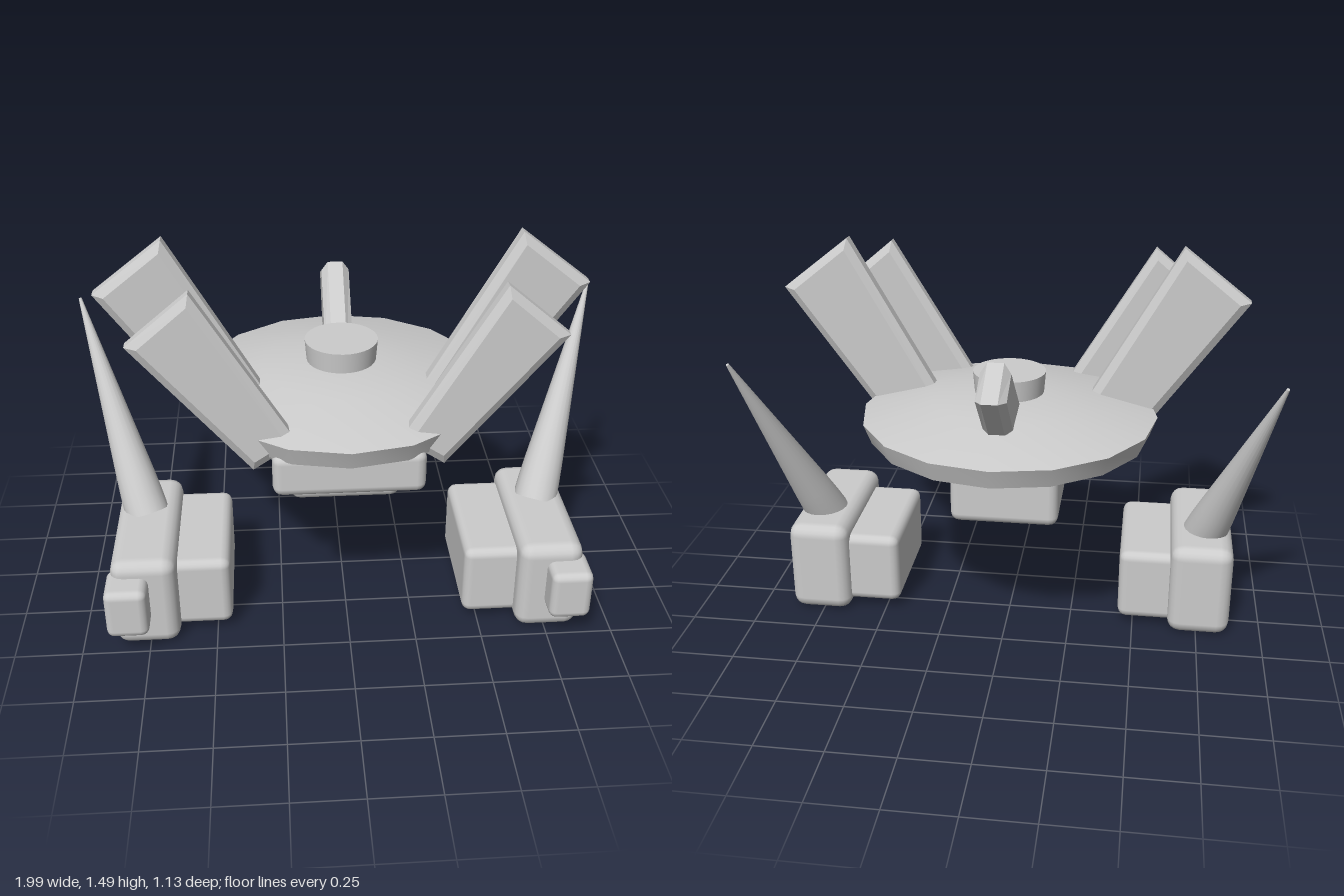
import * as THREE from 'three';
import { toCreasedNormals } from 'three/addons/utils/BufferGeometryUtils.js';
import { RoundedBoxGeometry } from 'three/addons/geometries/RoundedBoxGeometry.js';

const grey = new THREE.MeshStandardMaterial({ color: 0xcccccc });
grey.name = 'light grey';

function add(parent, name, geometry) {
  const mesh = new THREE.Mesh(geometry, grey);
  mesh.name = name;
  parent.add(mesh);
  return mesh;
}

// Rounded box given by its lower and upper corners
function box(parent, name, [x0, y0, z0], [x1, y1, z1], radius) {
  const g = new RoundedBoxGeometry(Math.abs(x1 - x0), y1 - y0, z1 - z0, 2, radius);
  g.translate((x0 + x1) / 2, (y0 + y1) / 2, (z0 + z1) / 2);
  return add(parent, name, g);
}

// Turned solid with sharp rims kept crisp
function turned(points, sides) {
  const profile = points.map(([r, y]) => new THREE.Vector2(r, y));
  return toCreasedNormals(new THREE.LatheGeometry(profile, sides), 0.6);
}

// Flat blade with bevelled edges, centred on its thickness
function blade(corners, thickness, bevelSize, bevelThickness) {
  const shape = new THREE.Shape(corners.map(([x, y]) => new THREE.Vector2(x, y)));
  const depth = thickness - 2 * bevelThickness;
  const g = new THREE.ExtrudeGeometry(shape, {
    depth, bevelEnabled: true, bevelSegments: 1,
    bevelSize, bevelThickness, bevelOffset: -bevelSize,
  });
  return g.translate(0, 0, -depth / 2);
}

export function createModel() {
  const model = new THREE.Group();
  model.name = 'hoveringRobot';

  // Saucer and its top cap
  add(model, 'saucer', turned([
    [0, 0.738], [0.2, 0.745], [0.53, 0.79], [0.558, 0.865],
    [0.3, 0.93], [0.14, 0.948], [0, 0.95],
  ], 16)).position.z = -0.01;
  add(model, 'topCap', new THREE.CylinderGeometry(0.137, 0.128, 0.11, 32)).position.set(0, 0.973, -0.01);

  // Body blocks under the saucer
  box(model, 'upperBody', [-0.272, 0.642, 0.02], [0.272, 0.81, 0.47], 0.035);
  box(model, 'lowerBody', [-0.205, 0.475, -0.205], [0.205, 0.8, 0.242], 0.035);

  // Leaning fin at the back
  const fin = blade([[-0.376, 1.185], [-0.545, 1.097], [-0.29, 0.835], [-0.09, 0.93]], 0.108, 0.03, 0.025);
  add(model, 'backFin', fin.rotateY(-Math.PI / 2));

  for (const [side, s] of [['left', 1], ['right', -1]]) {
    const flip = (corners) => corners.map(([x, y]) => [s * x, y]);

    // Raised blades through the rim
    const rear = blade(flip([[0.877, 1.29], [0.626, 1.485], [0.26, 0.84], [0.455, 0.705]]), 0.082, 0.03, 0.02);
    add(model, side + 'RearBlade', rear).position.z = 0.11;
    const front = blade(flip([[0.745, 1.225], [0.524, 1.41], [0.18, 0.84], [0.337, 0.735]]), 0.072, 0.03, 0.018);
    add(model, side + 'FrontBlade', front).position.z = 0.4;

    // Separate foot: main block, inner block and nose
    const foot = new THREE.Group();
    foot.name = side + 'Foot';
    model.add(foot);
    box(foot, 'mainBlock', [s * 0.636, 0, -0.133], [s * 0.877, 0.373, 0.468], 0.05);
    box(foot, 'innerBlock', [s * 0.44, 0.032, -0.09], [s * 0.7, 0.322, 0.4], 0.035);
    box(foot, 'nose', [s * 0.738, 0.116, 0.395], [s * 0.893, 0.316, 0.562], 0.03);

    // Horn leaning outwards and back
    const base = new THREE.Vector3(s * 0.775, 0.375, 0.07);
    const axis = new THREE.Vector3(s * 0.99, 1.1, -0.28).sub(base);
    const length = axis.length();
    const horn = add(foot, 'horn', turned([
      [0, -0.035], [0.085, -0.035], [0.081, 0.04], [0.074, 0.125], [0.006, length], [0, length + 0.002],
    ], 20));
    horn.position.copy(base);
    horn.quaternion.setFromUnitVectors(new THREE.Vector3(0, 1, 0), axis.normalize());
  }
  return model;
}
